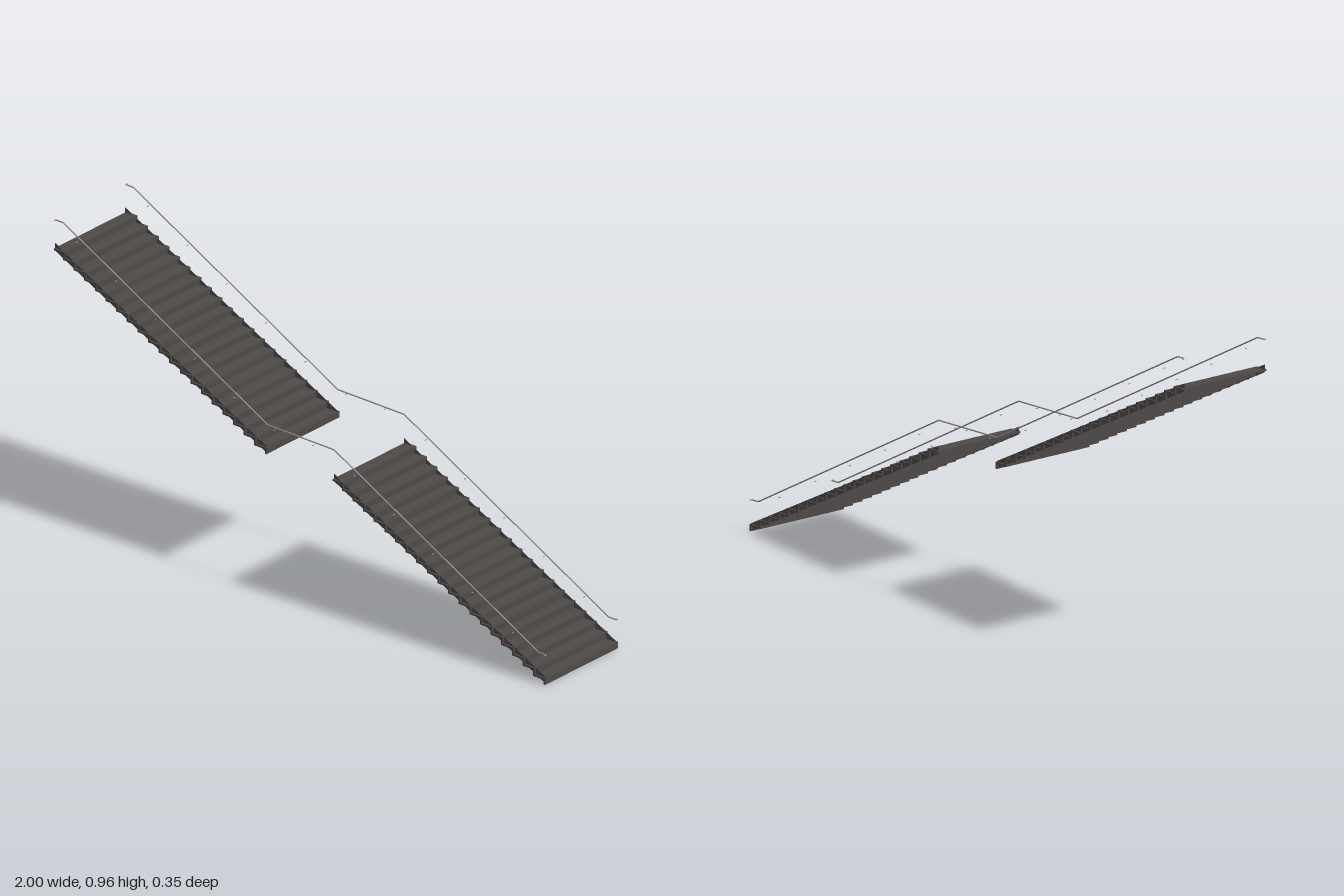
import * as THREE from 'three';

const STEPS = 20, RUN = 0.04325, RISE = 0.02165, HALF = 0.173, RAIL_Z = 0.1658;

const steel = new THREE.MeshStandardMaterial({ color: 0x4e4a48 });
steel.name = 'stairGrey';
const railSteel = new THREE.MeshStandardMaterial({ color: 0x949392 });
railSteel.name = 'railGrey';
const yellow = new THREE.MeshStandardMaterial({ color: 0xd9b824 });
yellow.name = 'warningYellow';

function add(parent, name, geometry, material) {
  const mesh = new THREE.Mesh(geometry, material);
  mesh.name = name;
  parent.add(mesh);
  return mesh;
}

// Extrudes an outline in the xy plane between two z positions
function slab(points, z0, z1) {
  const shape = new THREE.Shape(points.map(([x, y]) => new THREE.Vector2(x, y)));
  return new THREE.ExtrudeGeometry(shape, { depth: z1 - z0, bevelEnabled: false }).translate(0, 0, z0);
}

// One straight flight climbing towards -x from its foot at the origin
function flight(name, x, y) {
  const group = new THREE.Group();
  group.name = name;
  group.position.set(x, y, 0);

  // Folded treads and risers
  const t = 0.006, upper = [], lower = [];
  for (let i = 0; i < STEPS; i++) {
    upper.push([-i * RUN, i * RISE], [-i * RUN, (i + 1) * RISE]);
    lower.push([-i * RUN - t, Math.max(0, i * RISE - t)], [-i * RUN - t, (i + 1) * RISE - t]);
  }
  const length = STEPS * RUN, height = STEPS * RISE;
  upper.push([-length, height]);
  lower.push([-length, height - t]);
  add(group, 'steps', slab([...upper, ...lower.reverse()], -HALF, HALF), steel);

  // Thin straight stringers, set in a little from the tread ends
  const side = [[0, 0], [0, 0.0235], [-length, height + 0.016], [-length, height - 0.009]];
  for (const s of [-1, 1]) {
    const z = s * RAIL_Z;
    add(group, 'stringer', slab(side, z - 0.001, z + 0.001), steel);
  }

  // Warning face on the lowest tread, turned towards the climb
  const strip = add(group, 'warningStrip', new THREE.PlaneGeometry(0.328, 0.016), yellow);
  strip.rotation.set(0, -Math.PI / 2, 0);
  strip.rotateX(-0.5);
  strip.position.set(-0.022, RISE + 0.0075, 0);
  return group;
}

// Round bar between two points
function bar(parent, name, a, b, radius) {
  const from = new THREE.Vector3(...a), to = new THREE.Vector3(...b);
  const dir = to.clone().sub(from);
  const mesh = add(parent, name, new THREE.CylinderGeometry(radius, radius, dir.length(), 20), railSteel);
  mesh.position.copy(from).add(to).multiplyScalar(0.5);
  mesh.quaternion.setFromUnitVectors(new THREE.Vector3(0, 1, 0), dir.normalize());
}

function handrail(side) {
  const group = new THREE.Group();
  group.name = side > 0 ? 'frontHandrail' : 'backHandrail';
  const z = side * RAIL_Z, wall = side * HALF;
  const path = [[-0.998, 0.962], [-0.968, 0.962], [-0.135, 0.531], [0.135, 0.531], [0.968, 0.099], [0.998, 0.099]];
  for (let i = 0; i < path.length - 1; i++) {
    bar(group, 'rail', [...path[i], z], [...path[i + 1], z], 0.0022);
  }
  // Ends turned outwards
  for (const p of [path[0], path[5]]) bar(group, 'railEnd', [...p, z], [...p, wall], 0.002);

  // Small wall brackets below the rail
  const railY = (x) => {
    const i = path.findIndex((p, k) => k < 5 && x <= path[k + 1][0]);
    const [a, b] = [path[i], path[i + 1]];
    return a[1] + (b[1] - a[1]) * (x - a[0]) / (b[0] - a[0]);
  };
  for (const x of [-0.91, -0.75, -0.59, -0.43, -0.27, -0.105, 0.055, 0.22, 0.38, 0.54, 0.7, 0.865]) {
    const y = railY(x) - (Math.abs(x) < 0.135 ? 0.008 : 0.018);
    bar(group, 'bracket', [x, y, z], [x, y, wall], 0.0015);
  }
  return group;
}

export function createModel() {
  const model = new THREE.Group();
  model.name = 'doubleStaircase';
  model.add(flight('lowerFlight', 1, 0));
  model.add(flight('upperFlight', -0.135, STEPS * RISE));
  model.add(handrail(1), handrail(-1));
  return model;
}
